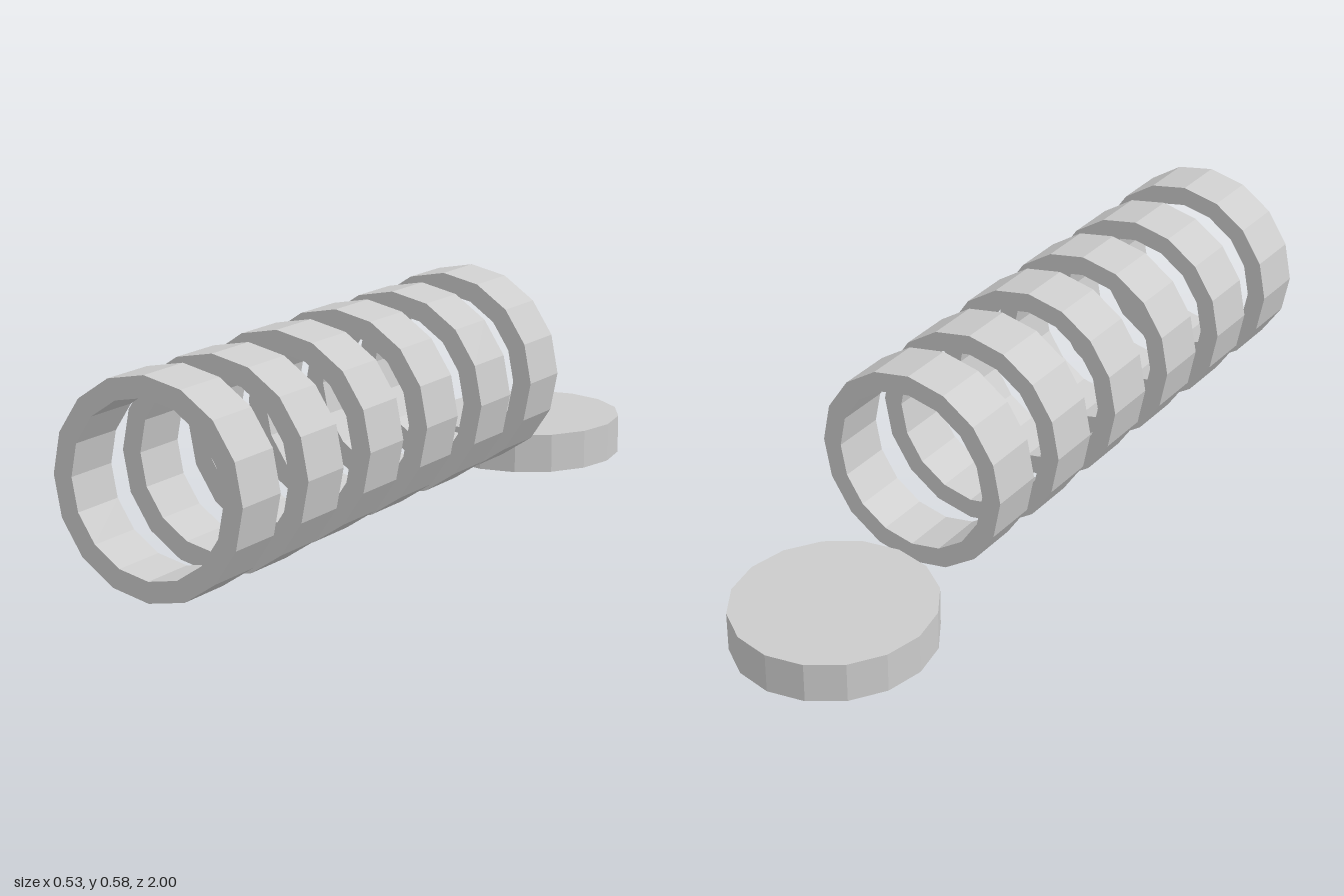
import * as THREE from 'three';

const SIDES = 16;

export function createModel() {
  const model = new THREE.Group();
  const material = new THREE.MeshStandardMaterial({ color: 0xcccccc, flatShading: true });

  // Faceted ring: a closed rectangular profile turned about the z axis
  const outer = 0.265, inner = 0.213, half = 0.0725;
  const profile = [
    [inner, -half], [outer, -half], [outer, half], [inner, half], [inner, -half],
  ].map(([r, y]) => new THREE.Vector2(r, y));
  const ringGeometry = new THREE.LatheGeometry(profile, SIDES).rotateX(Math.PI / 2);

  // Row of rings, rising slightly towards the back: [centre z, centre y]
  const rings = new THREE.Group();
  rings.name = 'rings';
  const places = [
    [0.927, 0.291], [0.672, 0.291], [0.412, 0.299],
    [0.158, 0.304], [-0.103, 0.304], [-0.356, 0.311],
  ];
  places.forEach(([z, y], i) => {
    const ring = new THREE.Mesh(ringGeometry, material);
    ring.name = `ring${i + 1}`;
    ring.position.set(0, y, z);
    rings.add(ring);
  });
  model.add(rings);

  // Slightly oval disc lying flat behind the rings
  const height = 0.104;
  const discGeometry = new THREE.CylinderGeometry(1, 1, height, SIDES).scale(0.253, 1, 0.2625);
  const disc = new THREE.Mesh(discGeometry, material);
  disc.name = 'disc';
  disc.position.set(0.005, height / 2, -0.7375);
  model.add(disc);

  return model;
}
